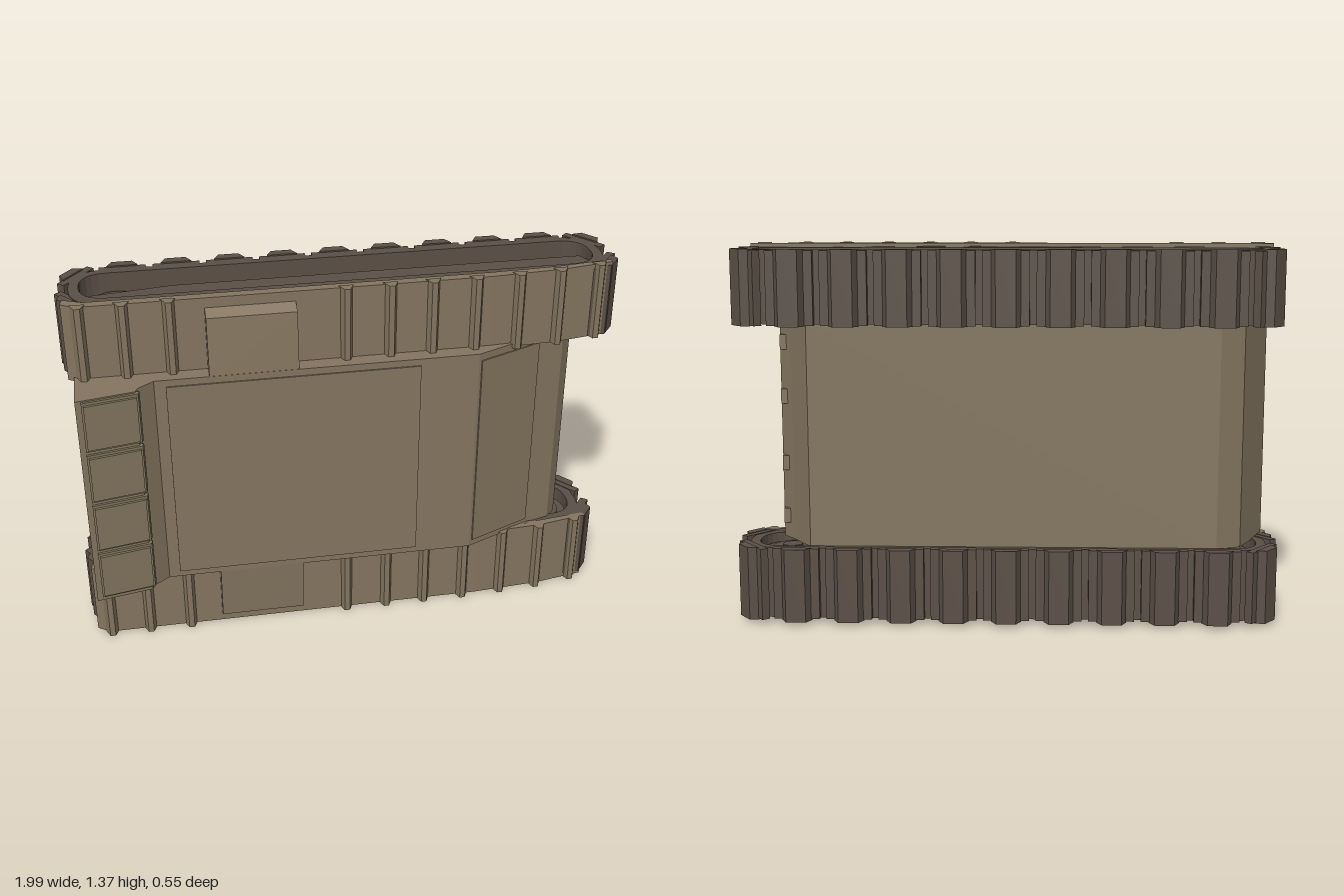
import * as THREE from 'three';

const WIDTH = 1.37;
const X = new THREE.Vector3(1, 0, 0), Y = new THREE.Vector3(0, 1, 0), Z = new THREE.Vector3(0, 0, 1);

export function createModel() {
  const model = new THREE.Group();
  const hullPaint = new THREE.MeshStandardMaterial({ color: 0x84755f });
  const boxPaint = new THREE.MeshStandardMaterial({ color: 0x80745d });
  const trackSteel = new THREE.MeshStandardMaterial({ color: 0x5b4f46 });
  hullPaint.name = 'hullPaint';
  boxPaint.name = 'boxPaint';
  trackSteel.name = 'trackSteel';

  const add = (parent, name, geometry, material) => {
    const mesh = new THREE.Mesh(geometry, material);
    mesh.name = name;
    parent.add(mesh);
    return mesh;
  };
  const toShape = pts => new THREE.Shape(pts.map(p => new THREE.Vector2(p[1], p[0])));
  const extrude = (shape, depth) =>
    new THREE.ExtrudeGeometry(shape, { depth, bevelEnabled: false, curveSegments: 6 });
  // Extrude an (x, z) outline from y0 to y1
  const alongY = (shape, y0, y1) => extrude(shape, y1 - y0)
    .applyMatrix4(new THREE.Matrix4().makeBasis(Z, X, Y)).translate(0, y0, 0);
  // Extrude a (y, z) outline from x0 to x1
  const alongX = (pts, x0, x1) => extrude(new THREE.Shape(pts.map(p => new THREE.Vector2(...p))), x1 - x0)
    .applyMatrix4(new THREE.Matrix4().makeBasis(Y, Z, X)).translate(x0, 0, 0);

  // Hull with raised rear deck, glacis and undercut nose
  add(model, 'hull', alongY(toShape([
    [-0.955, 0.26], [-0.755, 0.222], [-0.745, 0.2], [-0.69, 0.16], [0.45, 0.16], [0.71, 0.05],
    [0.8, 0.025], [0.84, -0.02], [0.79, -0.08], [0.715, -0.19],
    [-0.76, -0.19], [-0.85, -0.15], [-0.955, 0.05],
  ]), 0.275, 1.1), hullPaint);
  add(model, 'deckPanel', new THREE.BoxGeometry(0.89, 0.775, 0.008).translate(-0.205, 0.687, 0.161), hullPaint);
  const glacis = add(model, 'glacisPanel', new THREE.BoxGeometry(0.26, 0.77, 0.008), hullPaint);
  glacis.position.set(0.58, 0.687, 0.106);
  glacis.rotation.y = Math.atan2(0.11, 0.26);

  // Stowage boxes across the rear, each with a raised lid
  for (let i = 0; i < 4; i++) {
    const y = 0.293 + i * 0.204;
    const box = new THREE.Group();
    box.name = 'stowageBox';
    model.add(box);
    add(box, 'boxBody', alongY(toShape([
      [-0.935, 0.2], [-0.935, 0.265], [-0.745, 0.23], [-0.74, 0.212],
    ]), y, y + 0.19), boxPaint);
    add(box, 'boxLid', alongY(toShape([
      [-0.928, 0.26], [-0.928, 0.274], [-0.75, 0.24], [-0.75, 0.225],
    ]), y + 0.01, y + 0.18), boxPaint);
  }

  // Towing lugs on the nose
  for (const y of [0.36, 0.56, 0.81, 1.01]) {
    add(model, 'noseLug', new THREE.BoxGeometry(0.05, 0.055, 0.04).translate(0.81, y, -0.035), hullPaint);
  }

  // Rounded rectangle around the track run
  const loop = (P, hx, z0, z1, r) => {
    const p = new P();
    p.moveTo(z0 + r, -hx);
    p.lineTo(z1 - r, -hx);
    p.quadraticCurveTo(z1, -hx, z1, -hx + r);
    p.lineTo(z1, hx - r);
    p.quadraticCurveTo(z1, hx, z1 - r, hx);
    p.lineTo(z0 + r, hx);
    p.quadraticCurveTo(z0, hx, z0, hx - r);
    p.lineTo(z0, -hx + r);
    p.quadraticCurveTo(z0, -hx, z0 + r, -hx);
    return p;
  };

  // Fender upper edge, falling away at the front
  const fenderTop = [[-0.975, 0.07], [-0.93, 0.1], [0.5, 0.1], [0.76, 0.083], [0.95, 0.05]];
  const fenderZ = x => {
    for (let i = 1; i < fenderTop.length; i++) {
      const [xa, za] = fenderTop[i - 1], [xb, zb] = fenderTop[i];
      if (x <= xb) return za + (zb - za) * (x - xa) / (xb - xa);
    }
    return 0.05;
  };

  for (const upper of [false, true]) {
    const side = new THREE.Group();
    side.name = upper ? 'upperRunningGear' : 'lowerRunningGear';
    model.add(side);
    const m = y => (upper ? WIDTH - y : y);
    const span = (shape, a, b) => alongY(shape, Math.min(m(a), m(b)), Math.max(m(a), m(b)));

    // Track band
    const band = loop(THREE.Shape, 0.95, -0.225, 0.055, 0.13);
    band.holes.push(loop(THREE.Path, 0.915, -0.195, 0.01, 0.1));
    add(side, 'trackBand', span(band, 0.018, 0.28), trackSteel);

    // Track pads: a wide shoe with a tapered block on it
    const pad = (x, z, angle, h = 1) => {
      const g = new THREE.Group();
      g.name = 'trackPad';
      side.add(g);
      add(g, 'shoe', span(toShape([[-0.083, -0.005], [0.083, -0.005], [0.083, 0.026 * h], [-0.083, 0.026 * h]]), 0.02, 0.283), trackSteel);
      add(g, 'block', span(toShape([[-0.055, 0.02 * h], [0.055, 0.02 * h], [0.036, 0.055 * h], [-0.036, 0.055 * h]]), 0.015, 0.285), trackSteel);
      g.position.set(x, 0, z);
      g.rotation.y = angle;
    };
    for (let i = -4; i <= 4; i++) {
      pad(i * 0.19, -0.225, Math.PI);
      if (i < 4) pad(i * 0.19 + 0.095, 0.052, 0, 0.35);
    }
    for (const s of [-1, 1]) {
      pad(s * 0.915, -0.188, Math.PI - s * 0.9, 0.95);
      pad(s * 0.925, -0.005, s * 0.9, 0.95);
    }

    // Side plate inside the track run
    add(side, 'sidePlate', span(toShape([
      [-0.91, -0.09], [-0.59, -0.135], [0.89, -0.135], [0.91, -0.1], [0.91, -0.03],
      [0.87, 0.012], [-0.85, 0.012], [-0.9, -0.03],
    ]), 0.055, 0.075), trackSteel);

    // Road wheels with stepped hubs
    for (const x of [-0.79, -0.52, -0.18, 0.16, 0.5, 0.8]) {
      const end = Math.abs(x) > 0.7;
      const r = end ? 0.105 : 0.097, z = end ? -0.08 : -0.068;
      for (const [name, radius, depth] of [['wheel', r, 0.16], ['wheelRim', r * 0.72, 0.174], ['hub', r * 0.35, 0.19]]) {
        add(side, name, new THREE.CylinderGeometry(radius, radius, depth, 24).translate(x, m(0.165), z), trackSteel);
      }
    }

    // Fender and its cross ribs
    add(side, 'fender', span(toShape([
      ...fenderTop, [0.95, 0.03], [0.75, 0.055], [0.5, 0.065], [-0.9, 0.065], [-0.97, 0.035],
    ]), 0.003, 0.285), hullPaint);
    for (const x of [-0.92, -0.775, -0.62, -0.015, 0.14, 0.29, 0.445, 0.6, 0.75, 0.9]) {
      const z = fenderZ(x);
      add(side, 'fenderRib', span(toShape([
        [x - 0.026, z - 0.012], [x - 0.01, z + 0.024], [x + 0.01, z + 0.024], [x + 0.026, z - 0.012],
      ]), 0, 0.285), hullPaint);
    }

    // Sloped box on the fender
    add(side, 'fenderBox', alongX(
      [[0.285, 0.09], [0.285, 0.16], [0.06, 0.142], [0.035, 0.09]].map(([y, z]) => [m(y), z]),
      -0.5, -0.19), hullPaint);
  }
  return model;
}
